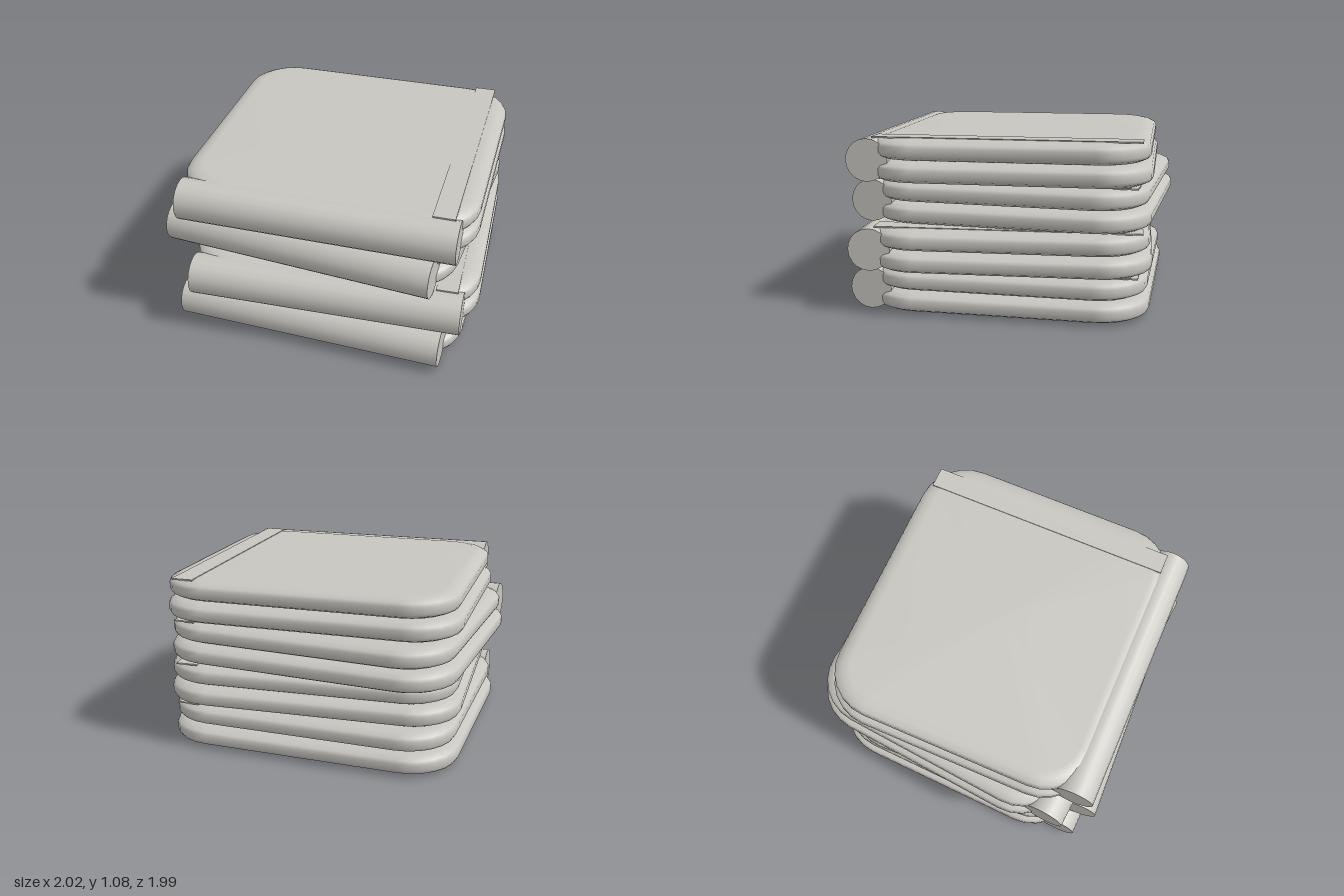
import * as THREE from 'three';

const PITCH = 0.27;   // height of one folded towel
const LAYER = 0.135;  // height of one fold

// Rounded-rectangle slab with a soft bulging rim, lofted from inset outlines
function foldGeometry(x0, x1, z0, z1, radius) {
  const h = LAYER / 2;
  const profile = [[0.1, -h], [0.05, -0.058], [0.012, -0.04], [0, -0.02],
    [0, 0.02], [0.012, 0.04], [0.05, 0.058], [0.1, h]]; // [inset, y]
  const steps = 6;
  const n = 4 * (steps + 1);
  const pos = [];
  const index = [];
  for (const [inset, y] of profile) {
    for (let c = 0; c < 4; c++) {
      const cx = c === 0 || c === 3 ? x1 - radius : x0 + radius;
      const cz = c < 2 ? z1 - radius : z0 + radius;
      for (let s = 0; s <= steps; s++) {
        const a = (c + s / steps) * Math.PI / 2;
        pos.push(cx + Math.cos(a) * (radius - inset), y, cz + Math.sin(a) * (radius - inset));
      }
    }
  }
  const last = profile.length - 1;
  const bottom = pos.length / 3;
  const top = bottom + 1;
  pos.push((x0 + x1) / 2, -h, (z0 + z1) / 2, (x0 + x1) / 2, h, (z0 + z1) / 2);
  for (let i = 0; i < n; i++) {
    const j = (i + 1) % n;
    for (let k = 0; k < last; k++) {
      const a = k * n + i, b = k * n + j;
      index.push(a, a + n, b, b, a + n, b + n);
    }
    index.push(bottom, i, j, top, last * n + j, last * n + i);
  }
  const geo = new THREE.BufferGeometry();
  geo.setAttribute('position', new THREE.Float32BufferAttribute(pos, 3));
  geo.setIndex(index);
  geo.computeVertexNormals();
  return geo;
}

export function createModel() {
  const cloth = new THREE.MeshStandardMaterial({ color: 0xc8c6c0 });
  cloth.name = 'pale grey cloth';

  const lowerFold = foldGeometry(-0.95, 0.925, -0.935, 0.8, 0.31);
  const upperFold = foldGeometry(-0.925, 0.92, -0.92, 0.8, 0.31);
  const roll = new THREE.CylinderGeometry(0.131, 0.131, 1.715, 20).rotateZ(Math.PI / 2);
  const hem = new THREE.BoxGeometry(0.135, 0.009, 1.62);

  const model = new THREE.Group();
  model.name = 'towelStack';

  // Each towel sits slightly shifted and turned: [x, z, degrees]
  const placement = [[0, 0, 0], [0.055, 0.03, 4], [-0.035, -0.035, -3], [0.03, 0.015, 2]];
  placement.forEach(([x, z, turn], i) => {
    const towel = new THREE.Group();
    towel.name = 'towel' + (i + 1);
    towel.position.set(x, i * PITCH, z);
    towel.rotation.y = THREE.MathUtils.degToRad(turn);
    const add = (name, geo, px, py, pz) => {
      const mesh = new THREE.Mesh(geo, cloth);
      mesh.name = name;
      mesh.position.set(px, py, pz);
      towel.add(mesh);
    };
    add('lowerFold', lowerFold, 0, LAYER / 2, 0);
    add('upperFold', upperFold, 0, LAYER * 1.5, 0);
    // Rounded front fold
    add('frontRoll', roll, -0.015, LAYER, 0.77);
    // Thin flat hem along the left edge of the top
    add('hemStrip', hem, 0.74, PITCH, -0.065);
    model.add(towel);
  });
  return model;
}
